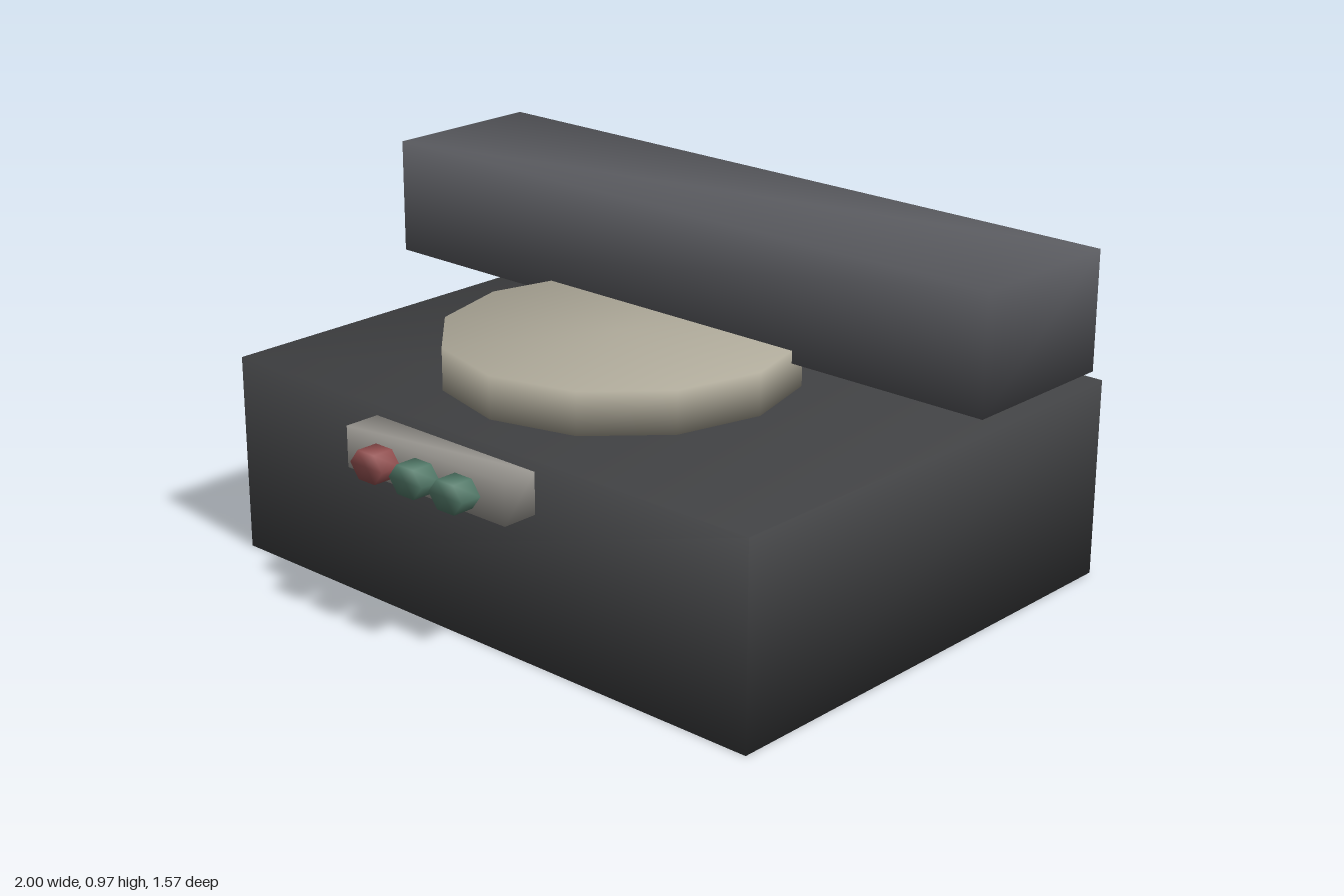
import * as THREE from 'three';
import { mergeVertices } from 'three/addons/utils/BufferGeometryUtils.js';

// Weld corners so the normals blend smoothly over the whole part
function weld(geometry) {
  geometry.deleteAttribute('normal');
  geometry.deleteAttribute('uv');
  const welded = mergeVertices(geometry, 1e-4);
  welded.computeVertexNormals();
  return welded;
}

function addPart(group, name, geometry, color, position) {
  const mesh = new THREE.Mesh(weld(geometry), new THREE.MeshStandardMaterial({ color }));
  mesh.name = name;
  mesh.position.set(...position);
  group.add(mesh);
  return mesh;
}

export function createModel() {
  const model = new THREE.Group();
  model.name = 'pressMachine';

  // Heavy body block
  addPart(model, 'base', new THREE.BoxGeometry(1.76, 0.54, 1.39), 0x424345, [0, 0.27, -0.09]);

  // Wide bar hovering over the rear of the plate
  addPart(model, 'upperBar', new THREE.BoxGeometry(2, 0.315, 0.46), 0x5e5f64, [0, 0.8125, -0.32]);

  // Twelve-sided round plate
  addPart(model, 'plate', new THREE.CylinderGeometry(0.466, 0.466, 0.113, 12), 0xb0ab9b, [0, 0.632, 0.082]);

  // Control panel at the front
  addPart(model, 'controlPanel', new THREE.BoxGeometry(0.556, 0.11, 0.1), 0xa19e98, [-0.048, 0.469, 0.674]);

  // Three flattened hexagonal buttons
  const buttons = [['redButton', 0x965252], ['greenButtonMiddle', 0x557d6c], ['greenButtonEnd', 0x557d6c]];
  buttons.forEach(([name, color], i) => {
    const hex = new THREE.CylinderGeometry(0.058, 0.058, 0.06, 6, 1, false, Math.PI / 6)
      .rotateX(Math.PI / 2)
      .scale(1, 0.76, 1);
    addPart(model, name, hex, color, [-0.188 + i * 0.14, 0.468, 0.755]);
  });

  return model;
}
